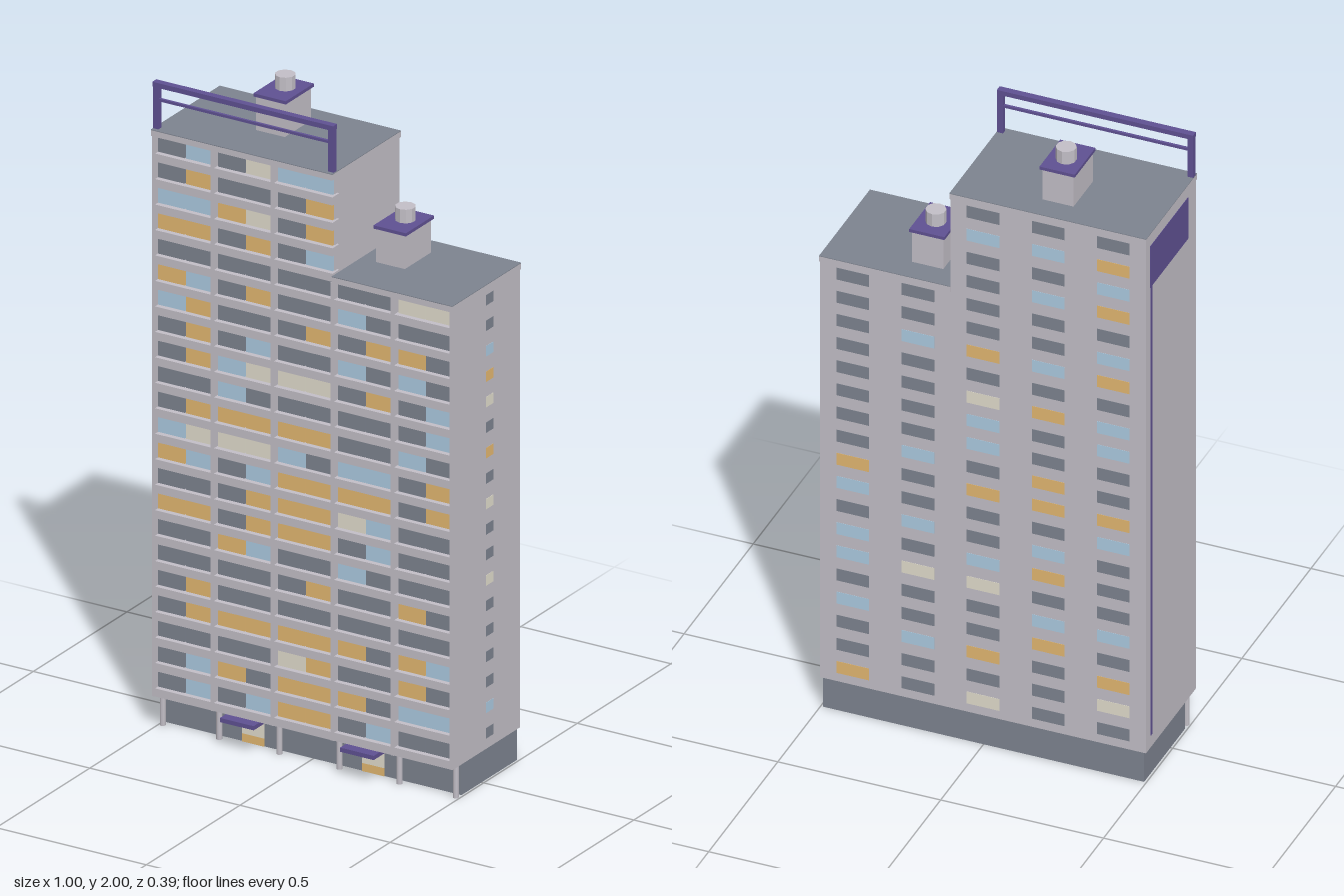
import * as THREE from 'three';
import { mergeGeometries } from 'three/addons/utils/BufferGeometryUtils.js';

const PITCH = 0.0784, BASE = 0.1, LOW = 18, HIGH = 22;
const LOW_TOP = 1.53, HIGH_TOP = 1.845;

// Window colours per floor from the ground up: D dark, B blue, O amber, C cream
const FRONT = [
  'DBDBOODBDD', 'DBODOOODBB', 'DDDDCODDOD', 'DOOOOOODOB', 'DODDDDDDDD', 'DDDDDODDOD',
  'DDOBDDBDDD', 'OODOOODBDD', 'DDDOOOCBDD', 'OBDBOOOODO', 'BCCCBDBBDO', 'DOOOOODDBD',
  'DDBDDDDDDB', 'DOBCCCDODB', 'DODBDDBDBD', 'BODDDODOOD', 'OBDODDBDDD', 'DDDDDDDDCC',
  'OODODB', 'BBOCDO', 'DODDDO', 'DBDCBB',
];
const BACK = [ // columns from x = -0.4 to x = 0.4
  'DCODBDDDBODDBBDOBDOBOD', 'DDDOBDOBDOODDODBDDBDBD', 'CDODDCBDDODBBCDODDDDBD',
  'DDBDDCDBDDBDDDDBDD', 'ODDBDBBDBODDDDDDDD',
];
const SIDE = 'DBDDDDCDDCDODCOBDD';

export function createModel() {
  const model = new THREE.Group();
  const mat = (name, color) => {
    const m = new THREE.MeshStandardMaterial({ color });
    m.name = name;
    return m;
  };
  const wall = mat('pale concrete', 0xc2bec6);
  const slate = mat('slate grey', 0x7d838f);
  const purple = mat('purple trim', 0x5f5192);
  const glass = {
    D: slate, B: mat('blue glass', 0xabcae0),
    O: mat('amber glass', 0xe2b770), C: mat('cream glass', 0xe0dccc),
  };

  // Box geometry given by its low and high corners
  const span = (x0, x1, y0, y1, z0, z1) =>
    new THREE.BoxGeometry(x1 - x0, y1 - y0, z1 - z0)
      .translate((x0 + x1) / 2, (y0 + y1) / 2, (z0 + z1) / 2);
  const add = (name, geo, material) => {
    const mesh = new THREE.Mesh(Array.isArray(geo) ? mergeGeometries(geo) : geo, material);
    mesh.name = name;
    model.add(mesh);
    return mesh;
  };

  // Ground floor: hollow plinth, open below
  const X = 0.493, ZB = -0.19, ZF = 0.107, T = 0.004;
  add('groundFloor', [
    span(-X, X, 0, BASE, ZF - T, ZF), span(-X, X, 0, BASE, ZB, ZB + T),
    span(-X, -X + T, 0, BASE, ZB, ZF), span(X - T, X, 0, BASE, ZB, ZF),
  ], slate);

  // Columns under the overhang
  const columns = [-0.488, -0.3, -0.1, 0.1, 0.3, 0.488].map((x) =>
    new THREE.CylinderGeometry(0.009, 0.009, BASE, 8).translate(x, BASE / 2, 0.129));
  add('frontColumns', columns, wall);

  // Main blocks, front wall behind the windows and end walls
  const tallEaves = HIGH_TOP - 0.02, lowEaves = LOW_TOP - 0.02;
  add('tallBlock', span(-0.5, 0.1, BASE, tallEaves, -0.193, 0.13), wall);
  add('lowBlock', span(0.1, 0.5, BASE, lowEaves, -0.193, 0.13), wall);
  add('frontWall', [
    span(-0.495, 0.093, BASE, tallEaves, 0.125, 0.144),
    span(0.093, 0.495, BASE, lowEaves, 0.125, 0.144),
  ], wall);
  add('endWalls', [
    span(-0.5, -0.491, BASE, tallEaves, 0.12, 0.167),
    span(0.491, 0.5, BASE, lowEaves, 0.12, 0.167),
  ], wall);

  // Roof slabs: pale edges, slate top
  const roof = (name, x0, x1, top) => {
    add(name, span(x0, x1, top - 0.02, top - 0.002, -0.197, 0.171), wall);
    add(name + 'Cover', span(x0, x1, top - 0.002, top, -0.197, 0.171), slate);
  };
  roof('tallRoof', -0.502, 0.102, HIGH_TOP);
  roof('lowRoof', 0.1, 0.502, LOW_TOP);

  // Balcony parapets, one strip per floor
  const parapets = [];
  for (let i = 0; i < HIGH; i++) {
    const y = BASE + i * PITCH;
    parapets.push(span(-0.495, i < LOW ? 0.495 : 0.1, y, y + 0.025, 0.12, 0.166));
  }
  add('balconyParapets', parapets, wall);

  // Vertical dividers between the bays
  const dividers = [-0.3, -0.1, 0.1, 0.3].map((x) =>
    span(x - 0.005, x + 0.005, BASE, x < 0 ? tallEaves : lowEaves, 0.12, 0.168));
  add('balconyDividers', dividers, wall);

  // Windows, merged by colour on each face
  const windows = (name, place) => {
    const sets = { D: [], B: [], O: [], C: [] };
    place((code, geo) => sets[code].push(geo));
    for (const code in sets) {
      if (sets[code].length) add(`${name} ${glass[code].name}`, sets[code], glass[code]);
    }
  };
  windows('front windows', (put) => FRONT.forEach((row, i) => [...row].forEach((code, k) => {
    const x = -0.4 + Math.floor(k / 2) * 0.2 + (k % 2 ? 0.0465 : -0.0465);
    const y = BASE + i * PITCH;
    put(code, span(x - 0.0445, x + 0.0445, y + 0.024, y + 0.077, 0.142, 0.15));
  })));
  windows('back windows', (put) => BACK.forEach((column, c) => [...column].forEach((code, i) => {
    const x = -0.4 + c * 0.2, y = 0.148 + i * PITCH;
    put(code, span(x - 0.05, x + 0.05, y - 0.02, y + 0.02, -0.1938, -0.191));
  })));
  windows('side windows', (put) => [...SIDE].forEach((code, i) => {
    const y = 0.148 + i * PITCH;
    put(code, span(0.498, 0.5008, y - 0.016, y + 0.016, -0.05, -0.012));
  }));

  // Entrances with canopies
  for (const x of [-0.2, 0.2]) {
    add('doorGlass', span(x - 0.037, x + 0.037, 0.025, 0.08, 0.104, 0.11), glass.C);
    add('doorPanel', span(x - 0.037, x + 0.037, 0, 0.025, 0.104, 0.11), glass.O);
    add('entranceCanopy', span(x - 0.056, x + 0.056, 0.086, 0.099, 0.105, 0.196), purple);
  }

  // Rooftop plant rooms with cap and faceted vent
  for (const [x, y] of [[-0.2, HIGH_TOP], [0.2, LOW_TOP]]) {
    add('plantRoom', span(x - 0.048, x + 0.048, y, y + 0.105, -0.123, 0.017), wall);
    add('plantRoomCap', span(x - 0.054, x + 0.054, y + 0.103, y + 0.113, -0.129, 0.021), purple);
    const ventGeo = new THREE.CylinderGeometry(0.03, 0.03, 0.044, 10).toNonIndexed();
    ventGeo.computeVertexNormals();
    add('roofVent', ventGeo, wall).position.set(x, y + 0.133, -0.063);
  }

  // Rooftop frame along the front edge
  add('roofFrame', [
    span(-0.502, -0.484, HIGH_TOP, 1.98, 0.144, 0.16),
    span(0.082, 0.1, HIGH_TOP, 1.98, 0.144, 0.16),
    span(-0.502, 0.1, 1.974, 1.989, 0.142, 0.163),
    span(-0.49, 0.09, 1.93, 1.938, 0.148, 0.156),
  ], purple);

  // Blank sign board and stripe on the tall end wall
  add('signBoard', span(-0.5012, -0.496, 1.66, 1.8, -0.165, 0.11), purple);
  add('wallStripe', span(-0.5012, -0.496, 0.14, 1.66, -0.16, -0.147), purple);

  return model;
}
